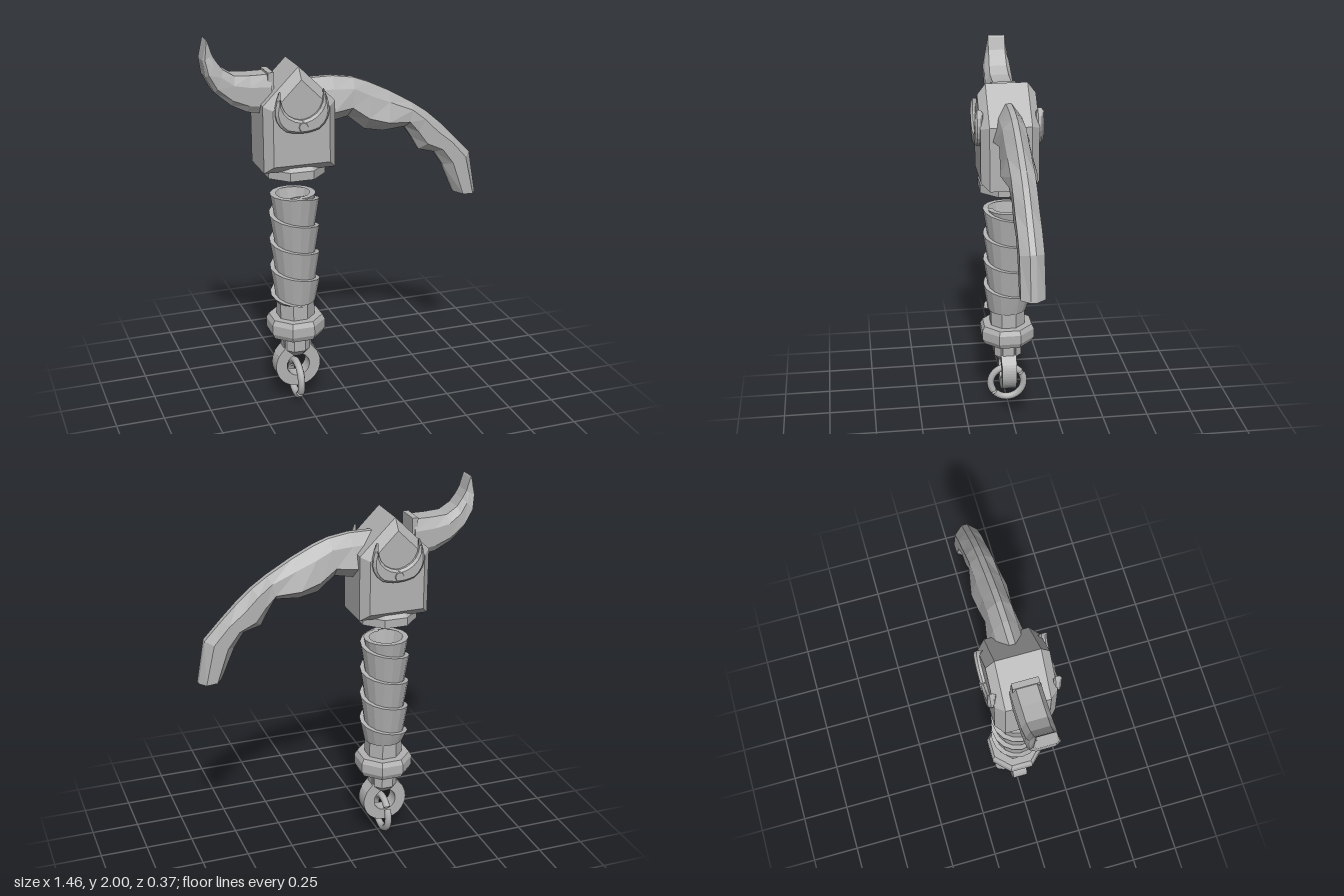
import * as THREE from 'three';

const AX = -0.275; // x of the handle's axis
const grey = new THREE.MeshStandardMaterial({ color: 0xb3b3b3, side: THREE.DoubleSide });
grey.name = 'plain grey';

function flat(geo) {
  const g = geo.index ? geo.toNonIndexed() : geo;
  g.computeVertexNormals();
  return g;
}

// Skin a list of cross-sections (arrays of [x, y, z])
function loft(sections, closed = true) {
  const n = sections[0].length, index = [];
  const loops = closed ? n : n - 1;
  for (let i = 0; i < sections.length - 1; i++) {
    for (let j = 0; j < loops; j++) {
      const a = i * n + j, b = i * n + (j + 1) % n;
      index.push(a, b, a + n, b, b + n, a + n);
    }
  }
  if (closed) {
    const e = (sections.length - 1) * n;
    for (let j = 1; j < n - 1; j++) index.push(0, j + 1, j, e, e + j, e + j + 1);
  }
  const g = new THREE.BufferGeometry();
  g.setAttribute('position', new THREE.Float32BufferAttribute(sections.flat(2), 3));
  g.setIndex(index);
  return flat(g);
}

// Chamfered blade; rows: outer x, y, inner x, y, half width near outer, near inner, edge half width
function blade(rows, f1, f2) {
  return loft(rows.map(([ox, oy, ix, iy, w1, w2, e]) => {
    const at = (f, z) => [ox + (ix - ox) * f, oy + (iy - oy) * f, z];
    return [at(0, e), at(f1, w1), at(f2, w2), at(1, e), at(1, -e), at(f2, -w2), at(f1, -w1), at(0, -e)];
  }));
}

// Eight-sided turned part, flats facing front; profile: [half width, y] from bottom to top
function turned(profile) {
  const k = 1 / Math.cos(Math.PI / 8);
  const pts = profile.map(([r, y]) => new THREE.Vector2(r * k, y));
  return flat(new THREE.LatheGeometry(pts, 8, Math.PI / 8));
}

export function createModel() {
  const model = new THREE.Group();
  model.name = 'hookedHammer';
  const add = (name, geo, x = 0, y = 0, z = 0, parent = model) => {
    const m = new THREE.Mesh(geo, grey);
    m.name = name;
    m.position.set(x, y, z);
    parent.add(m);
    return m;
  };

  // Peaked head block with bevelled front and back
  const head = new THREE.Shape([
    [-0.145, 1.365], [0.145, 1.365], [0.145, 1.65], [0, 1.795], [-0.145, 1.65],
  ].map(p => new THREE.Vector2(...p)));
  add('headBlock', new THREE.ExtrudeGeometry(head, {
    depth: 0.22, bevelThickness: 0.043, bevelSize: 0.04, bevelSegments: 1,
  }), AX, 0, -0.11);
  add('headCollar', turned([[0, 1.28], [0.148, 1.28], [0.148, 1.325], [0.11, 1.37], [0, 1.37]]), AX);

  // Crescent emblem and bead on front and back
  const moon = new THREE.Shape();
  moon.moveTo(-0.11, 1.745);
  moon.bezierCurveTo(-0.15, 1.66, -0.15, 1.59, -0.085, 1.545);
  moon.quadraticCurveTo(0, 1.515, 0.085, 1.545);
  moon.bezierCurveTo(0.15, 1.59, 0.15, 1.66, 0.11, 1.745);
  moon.bezierCurveTo(0.115, 1.67, 0.09, 1.61, 0, 1.595);
  moon.bezierCurveTo(-0.09, 1.61, -0.115, 1.67, -0.11, 1.745);
  const moonGeo = new THREE.ExtrudeGeometry(moon, {
    depth: 0.018, curveSegments: 6, bevelThickness: 0.012, bevelSize: 0.012, bevelOffset: -0.012, bevelSegments: 1,
  });
  for (const side of [0, 1]) {
    const emblem = new THREE.Group();
    emblem.name = side ? 'backEmblem' : 'frontEmblem';
    emblem.position.x = AX;
    emblem.rotation.y = side * Math.PI;
    add('crescent', moonGeo, 0, 0, 0.148, emblem);
    const bead = add('bead', flat(new THREE.CylinderGeometry(0.022, 0.034, 0.03, 8)), 0, 1.565, 0.168, emblem);
    bead.rotation.x = Math.PI / 2;
    model.add(emblem);
  }

  // Upswept horn
  add('horn', blade([
    [-0.40, 1.61, -0.40, 1.81, 0.075, 0.075, 0.05],
    [-0.52, 1.63, -0.50, 1.81, 0.075, 0.075, 0.05],
    [-0.60, 1.67, -0.58, 1.815, 0.075, 0.075, 0.05],
    [-0.68, 1.74, -0.635, 1.85, 0.075, 0.072, 0.047],
    [-0.722, 1.82, -0.665, 1.89, 0.075, 0.065, 0.045],
    [-0.733, 1.90, -0.685, 1.925, 0.06, 0.05, 0.045],
    [-0.71, 2.0, -0.705, 1.99, 0.045, 0.045, 0.045],
  ], 0.2, 0.7));
  add('hornSocket', new THREE.BoxGeometry(0.03, 0.2, 0.13), -0.402, 1.72, 0);

  // Long hooked blade with a scalloped underside
  add('hook', blade([
    [-0.20, 1.765, -0.18, 1.54, 0.06, 0.09, 0.015],
    [-0.07, 1.765, -0.09, 1.53, 0.06, 0.093, 0.015],
    [0.04, 1.748, 0.01, 1.55, 0.06, 0.075, 0.015],
    [0.12, 1.718, 0.10, 1.475, 0.06, 0.082, 0.015],
    [0.23, 1.665, 0.20, 1.455, 0.06, 0.092, 0.015],
    [0.36, 1.59, 0.32, 1.465, 0.06, 0.068, 0.015],
    [0.44, 1.535, 0.36, 1.405, 0.06, 0.06, 0.015],
    [0.52, 1.465, 0.40, 1.335, 0.06, 0.06, 0.015],
    [0.60, 1.385, 0.49, 1.31, 0.06, 0.06, 0.015],
    [0.69, 1.29, 0.54, 1.235, 0.06, 0.06, 0.015],
    [0.73, 1.065, 0.61, 1.075, 0.06, 0.06, 0.015],
  ], 0.25, 0.72));

  // Spiral grip: a flared strip wound down the handle
  const pitch = 0.147, top = 1.17, bottom = 0.58, perTurn = 16;
  const strip = [];
  for (let i = 0; i <= perTurn * 5; i++) {
    const a = i / perTurn * Math.PI * 2;
    const y0 = top + pitch - pitch * i / perTurn;
    const ring = (y, r) => {
      const yc = THREE.MathUtils.clamp(y, bottom, top);
      const rr = r - 0.022 * (y - yc > 0 ? Math.min((y - yc) / pitch, 1) : 0);
      return [AX + Math.sin(a) * rr, yc, Math.cos(a) * rr];
    };
    strip.push([ring(y0, 0.1), ring(y0, 0.13), ring(y0 - pitch, 0.106)]);
  }
  add('spiralGrip', loft(strip, false));

  // Pommel: neck, nut and stem
  add('neck', turned([[0, 0.48], [0.092, 0.48], [0.092, 0.6], [0, 0.6]]), AX);
  add('pommelNut', turned([
    [0, 0.392], [0.13, 0.392], [0.143, 0.42], [0.143, 0.47], [0.13, 0.495], [0, 0.495],
  ]), AX);
  add('stem', turned([
    [0, 0.27], [0.045, 0.27], [0.074, 0.305], [0.074, 0.365], [0.06, 0.40],
  ]), AX);

  // Flat eye with shoulders running up to the stem
  const eye = new THREE.Shape();
  eye.absarc(0, 0.212, 0.122, 0, Math.PI * 2);
  eye.holes.push(new THREE.Path().absarc(0, 0.212, 0.062, 0, Math.PI * 2, true));
  add('eye', new THREE.ExtrudeGeometry(eye, { depth: 0.08, bevelEnabled: false, curveSegments: 24 }), AX, 0, -0.04);
  const web = new THREE.Shape([
    [-0.108, 0.275], [0.108, 0.275], [0.07, 0.32], [0.07, 0.395], [-0.07, 0.395], [-0.07, 0.32],
  ].map(p => new THREE.Vector2(...p)));
  add('eyeShoulder', new THREE.ExtrudeGeometry(web, { depth: 0.084, bevelEnabled: false }), AX, 0, -0.042);

  // Split ring hanging through the eye
  const link = new THREE.Group();
  link.name = 'splitRing';
  link.position.set(AX, 0.118, 0);
  link.rotation.y = Math.PI / 2;
  for (const turn of [0, Math.PI]) {
    const half = add('ringHalf', new THREE.TorusGeometry(0.094, 0.02, 8, 18, Math.PI - 0.12), 0, 0, 0, link);
    half.rotation.z = turn + 0.7;
  }
  model.add(link);

  return model;
}
